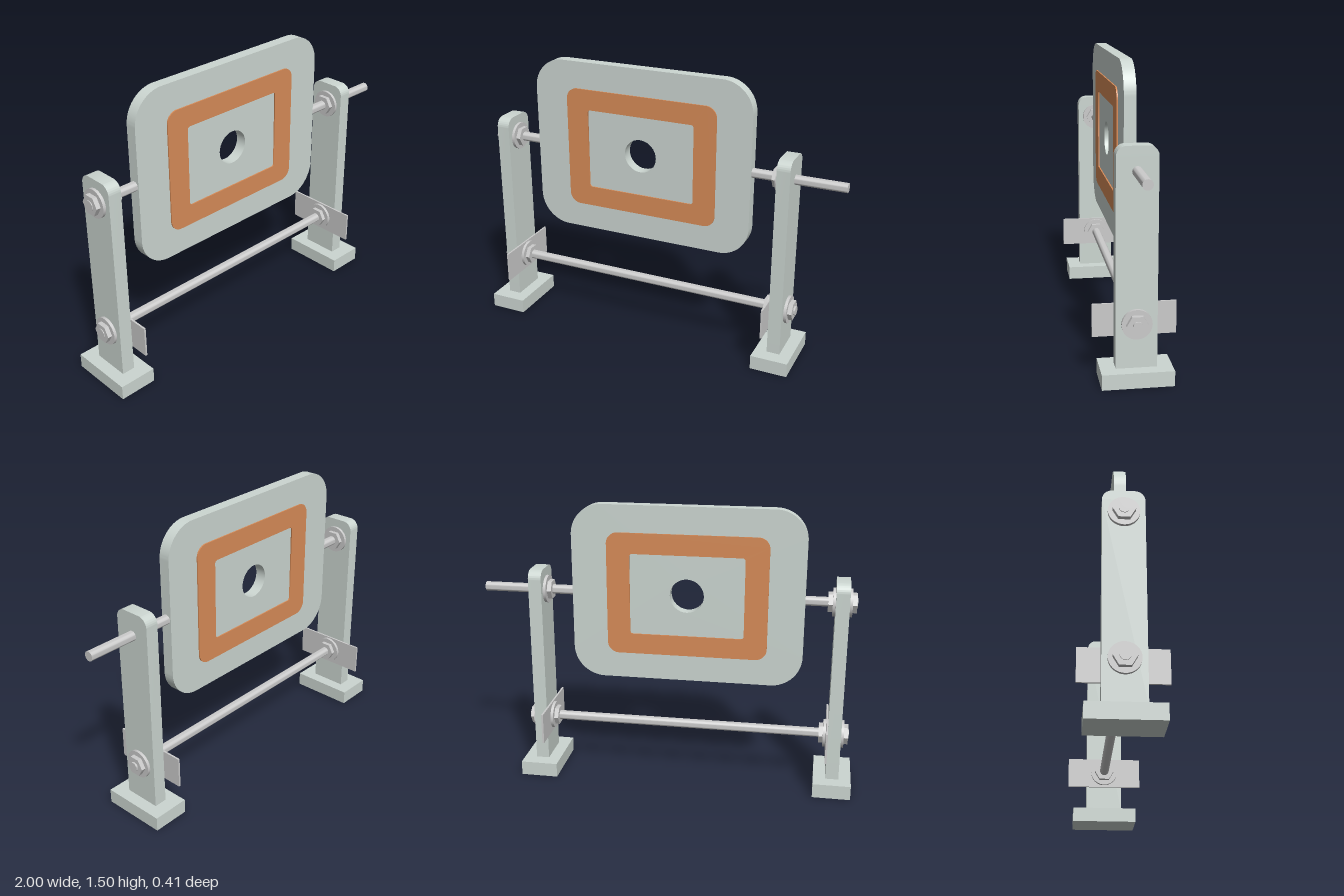
import * as THREE from 'three';
import { toCreasedNormals } from 'three/addons/utils/BufferGeometryUtils.js';

const metal = new THREE.MeshStandardMaterial({ color: 0xcccccc });
const painted = new THREE.MeshStandardMaterial({ color: 0xccd6d1 });
const copper = new THREE.MeshStandardMaterial({ color: 0xd88c58 });

const PANEL_X = -0.1, AXLE_Y = 1.033, TIE_Y = 0.3;

// Rectangle centred on the origin with separate bottom and top corner radii
function roundedRect(w, h, rTop, rBottom = rTop, Kind = THREE.Shape) {
  const s = new Kind(), x = w / 2, y = h / 2;
  s.moveTo(-x + rBottom, -y);
  s.lineTo(x - rBottom, -y);
  if (rBottom) s.absarc(x - rBottom, -y + rBottom, rBottom, -Math.PI / 2, 0);
  s.lineTo(x, y - rTop);
  s.absarc(x - rTop, y - rTop, rTop, 0, Math.PI / 2);
  s.lineTo(-x + rTop, y);
  s.absarc(-x + rTop, y - rTop, rTop, Math.PI / 2, Math.PI);
  s.lineTo(-x, -y + rBottom);
  if (rBottom) s.absarc(-x + rBottom, -y + rBottom, rBottom, Math.PI, Math.PI * 1.5);
  return s;
}

// Extrusion centred on z = 0
function slab(shape, depth) {
  const g = new THREE.ExtrudeGeometry(shape, { depth, bevelEnabled: false, curveSegments: 16 });
  g.translate(0, 0, -depth / 2);
  return toCreasedNormals(g, 0.6);
}

function add(parent, name, geometry, material, x = 0, y = 0, z = 0) {
  const mesh = new THREE.Mesh(geometry, material);
  mesh.name = name;
  mesh.position.set(x, y, z);
  parent.add(mesh);
  return mesh;
}

// Cylinder lying along x between two ends
function bar(parent, name, x0, x1, y, radius, sides = 32) {
  const g = new THREE.CylinderGeometry(radius, radius, Math.abs(x1 - x0), sides);
  g.rotateZ(Math.PI / 2);
  return add(parent, name, toCreasedNormals(g, 0.6), metal, (x0 + x1) / 2, y);
}

// Washer and hexagonal nut stacked outwards from a face along x
function fastener(parent, name, x, y, dir) {
  const g = new THREE.Group();
  g.name = name;
  bar(g, 'washer', x, x + dir * 0.015, y, 0.074);
  bar(g, 'hexNut', x + dir * 0.015, x + dir * 0.038, y, 0.054, 6);
  parent.add(g);
}

export function createModel() {
  const model = new THREE.Group();
  model.name = 'panelStand';

  // Panel with a round centre hole
  const panel = roundedRect(1.225, 0.94, 0.165);
  const hole = new THREE.Path();
  hole.absarc(0, 0, 0.09, 0, Math.PI * 2, true);
  panel.holes.push(hole);
  add(model, 'panel', slab(panel, 0.06), painted, PANEL_X, 1.035);

  // Coil frame standing slightly proud of both faces
  const coil = roundedRect(0.85, 0.655, 0.06);
  coil.holes.push(roundedRect(0.605, 0.435, 0.015, 0.015, THREE.Path));
  add(model, 'coil', slab(coil, 0.074), copper, PANEL_X, 1.033);

  // Two posts, each with a foot, a bracket plate and lower fasteners
  for (const [side, x, inward] of [['right', -0.9, 1], ['left', 0.7, -1]]) {
    const post = new THREE.Group();
    post.name = side + 'Post';
    model.add(post);
    add(post, 'foot', new THREE.BoxGeometry(0.2, 0.077, 0.35), painted, x, 0.0385);
    const upright = slab(roundedRect(0.2, 1.075, 0.05, 0), 0.07).rotateY(Math.PI / 2);
    add(post, 'upright', upright, painted, x, 0.6145);
    const inner = x + inward * 0.035;
    add(post, 'bracketPlate', new THREE.BoxGeometry(0.01, 0.165, 0.41), metal,
      inner + inward * 0.005, 0.298);
    fastener(post, 'lowerInnerFastener', inner + inward * 0.01, TIE_Y, inward);
    fastener(post, 'lowerOuterFastener', x - inward * 0.035, TIE_Y, -inward);
    fastener(post, 'upperInnerFastener', inner, AXLE_Y, inward);
    if (side === 'right') fastener(post, 'upperOuterFastener', x - 0.035, AXLE_Y, -1);
  }

  // Axle stubs carrying the panel, and the lower tie rod
  bar(model, 'rightAxle', -0.977, -0.69, AXLE_Y, 0.025);
  bar(model, 'leftAxle', 0.495, 1, AXLE_Y, 0.025);
  bar(model, 'tieRod', -0.977, 0.783, TIE_Y, 0.025);

  return model;
}
